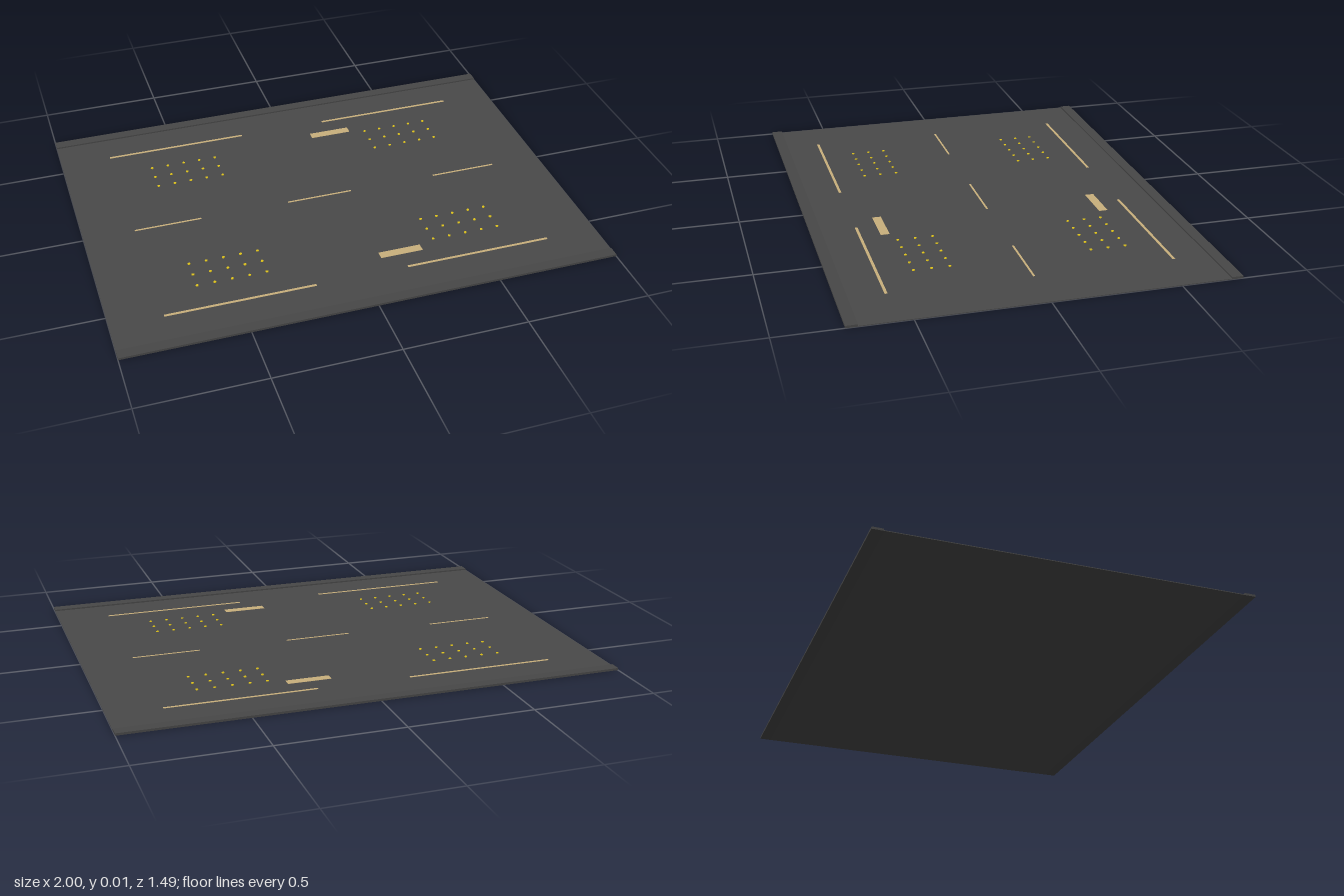
import * as THREE from 'three';

export function createModel() {
  const model = new THREE.Group();
  const material = (name, color) => {
    const m = new THREE.MeshStandardMaterial({ color });
    m.name = name;
    return m;
  };
  const asphalt = material('asphalt', 0x494949);
  const curbGrey = material('curb grey', 0x474747);
  const sand = material('sand paint', 0xc9b07c);
  const yellow = material('yellow', 0xe0c41c);

  const SLAB_TOP = 0.003;
  const PAINT = 0.001;

  // Box placed by its centre in plan and its underside height
  function box(name, mat, w, h, d, x, y, z) {
    const mesh = new THREE.Mesh(new THREE.BoxGeometry(w, h, d), mat);
    mesh.name = name;
    mesh.position.set(x, y + h / 2, z);
    model.add(mesh);
  }

  // Road surface between the two raised edges
  box('roadSlab', asphalt, 2, SLAB_TOP, 1.395, 0, 0, 0);

  for (const side of [-1, 1]) {
    // Raised edge strip
    box('curb', curbGrey, 2, 0.009, 0.045, 0, 0, side * 0.72);
    // Long edge lines
    for (const x of [-0.49, 0.487]) {
      box('edgeLine', sand, 0.6, PAINT, 0.011, x, SLAB_TOP, side * 0.556);
    }
    // Short wide marking
    box('wideMarking', sand, 0.176, PAINT, 0.036, 0.193, SLAB_TOP, side * 0.457);
  }

  // Dashed centre line
  for (const x of [-0.651, 0, 0.651]) {
    box('centreDash', sand, 0.278, PAINT, 0.008, x, SLAB_TOP, 0);
  }

  // Four grids of small yellow studs, five by three
  const studShape = new THREE.CylinderGeometry(0.006, 0.006, 0.003, 8);
  for (const cx of [-0.49, 0.487]) {
    for (const cz of [-0.35, 0.35]) {
      const field = new THREE.Group();
      field.name = 'studField';
      field.position.set(cx, SLAB_TOP + 0.0015, cz);
      for (let i = -2; i <= 2; i++) {
        for (let j = -1; j <= 1; j++) {
          const stud = new THREE.Mesh(studShape, yellow);
          stud.name = 'stud';
          stud.position.set(i * 0.07, 0, j * 0.07);
          field.add(stud);
        }
      }
      model.add(field);
    }
  }

  return model;
}
